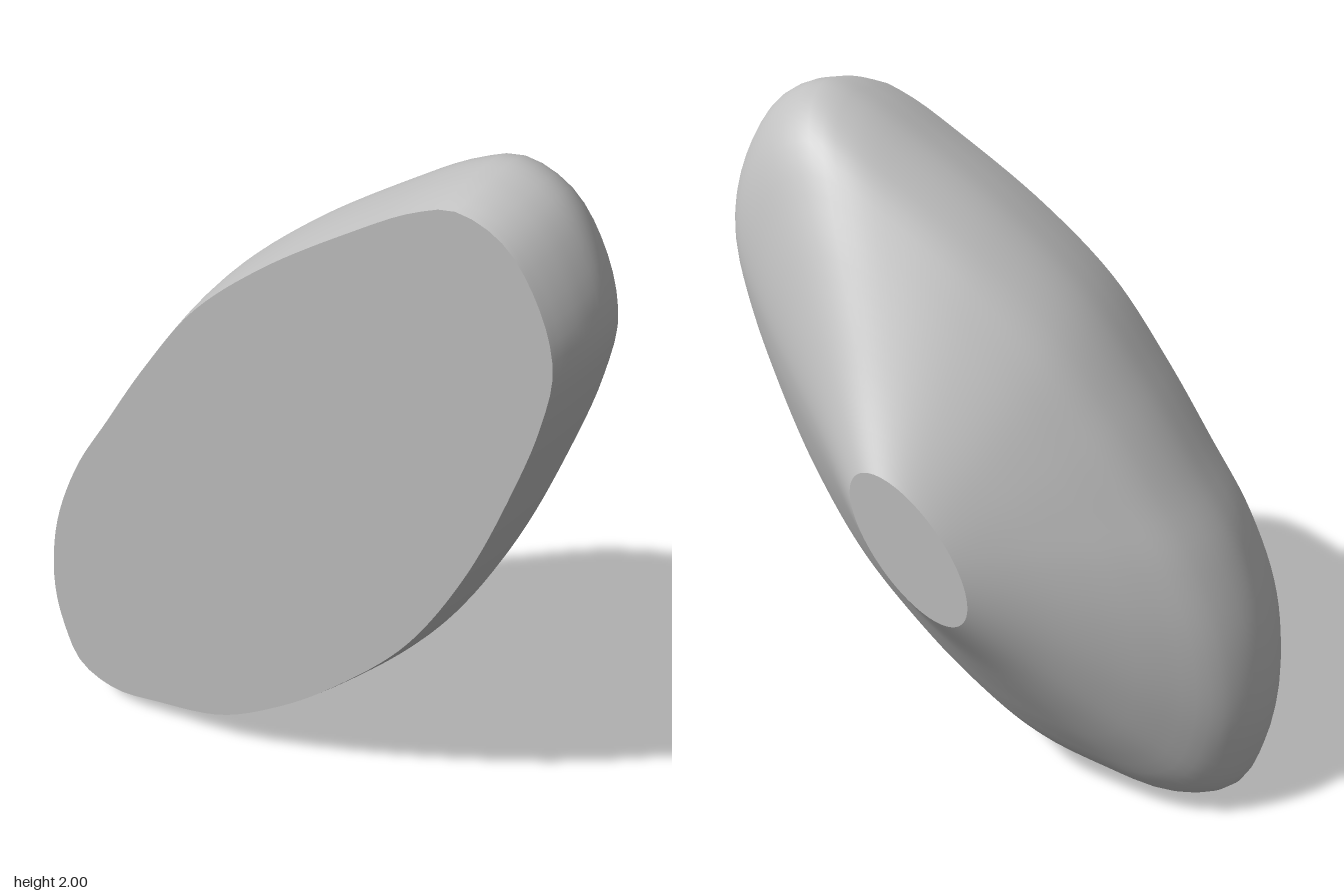
import * as THREE from 'three';

// Outline at the widest section, clockwise seen from the front
const OUTLINE = [
  [0.57, 2.0], [0.7, 1.945], [0.8, 1.8], [0.845, 1.635], [0.82, 1.47], [0.75, 1.25],
  [0.615, 0.92], [0.43, 0.61], [0.19, 0.36], [0, 0.205], [-0.23, 0.07], [-0.47, 0.02],
  [-0.65, 0.002], [-0.775, 0.06], [-0.83, 0.2], [-0.848, 0.36], [-0.81, 0.6], [-0.705, 0.845],
  [-0.57, 1.05], [-0.415, 1.277], [-0.23, 1.51], [0, 1.7], [0.27, 1.87], [0.456, 1.97],
];
// Side profile from front to back: [z, size of the section]
const PROFILE = [
  [0.395, 0.945], [0.345, 0.967], [0.28, 0.988], [0.19, 1], [0.1, 0.975], [0, 0.9],
  [-0.1, 0.745], [-0.2, 0.565], [-0.3, 0.385], [-0.41, 0.205],
];
const SEGMENTS = 120, RINGS = 36;
const AXIS = THREE.MathUtils.degToRad(52);

const spline = (points, closed) => new THREE.CatmullRomCurve3(
  points.map(([a, b]) => new THREE.Vector3(a, b, 0)), closed, 'centripetal');

// Matching point on the small slanted oval at the back
function ovalPoint(x, y) {
  const c = Math.cos(AXIS), s = Math.sin(AXIS);
  const u = (x * c + y * s) / 1.155, v = (-x * s + y * c) / 0.463;
  const len = Math.hypot(u, v), a = 0.245 * u / len, b = 0.113 * v / len;
  return [a * c - b * s, a * s + b * c];
}

function buildRings() {
  const outline = spline(OUTLINE, true).getSpacedPoints(SEGMENTS).slice(0, SEGMENTS);
  const profile = spline(PROFILE, false);
  const rings = [];
  for (let i = 0; i <= RINGS; i++) {
    const { x: z, y: size } = profile.getPoint(i / RINGS);
    const blend = z < 0.19 ? THREE.MathUtils.clamp((1 - size) / 0.795, 0, 1) : 0;
    const tilt = THREE.MathUtils.clamp((z - 0.19) / 0.205, 0, 1);
    rings.push(outline.map((p) => {
      const px = p.x, py = p.y - 1;
      const [ox, oy] = ovalPoint(px, py);
      const k = size / 0.205;
      const x = size * px * (1 - blend) + k * ox * blend + 0.004 * blend;
      const y = size * py * (1 - blend) + k * oy * blend - 0.025 * blend;
      // The front face leans slightly, and so does the back face
      const dz = tilt * (0.03 * y - 0.0225 * x) + blend * 0.015 * y;
      return [x, y + 1, z + dz];
    }));
  }
  return rings;
}

function geometryFrom(points, index) {
  const geometry = new THREE.BufferGeometry();
  geometry.setAttribute('position', new THREE.Float32BufferAttribute(points.flat(), 3));
  geometry.setIndex(index);
  geometry.computeVertexNormals();
  return geometry;
}

// Smooth skin through all rings
function skinGeometry(rings) {
  const index = [];
  for (let i = 0; i < RINGS; i++) {
    for (let j = 0; j < SEGMENTS; j++) {
      const n = (j + 1) % SEGMENTS;
      const a = i * SEGMENTS + j, b = i * SEGMENTS + n;
      index.push(a, b, a + SEGMENTS, b, b + SEGMENTS, a + SEGMENTS);
    }
  }
  return geometryFrom(rings.flat(), index);
}

// Flat face closing one ring
function faceGeometry(ring, facesFront) {
  const centre = [0, 1, 2].map((k) => ring.reduce((sum, p) => sum + p[k], 0) / SEGMENTS);
  const index = [];
  for (let j = 0; j < SEGMENTS; j++) {
    const n = (j + 1) % SEGMENTS;
    index.push(SEGMENTS, facesFront ? n : j, facesFront ? j : n);
  }
  return geometryFrom([...ring, centre], index);
}

export function createModel() {
  const group = new THREE.Group();
  group.name = 'taperedBody';
  const grey = new THREE.MeshStandardMaterial({ color: 0xc0c0c0 });
  grey.name = 'grey';
  const add = (name, geometry) => {
    const mesh = new THREE.Mesh(geometry, grey);
    mesh.name = name;
    group.add(mesh);
  };
  const rings = buildRings();
  add('roundedSide', skinGeometry(rings));
  add('frontFace', faceGeometry(rings[0], true));
  add('backFace', faceGeometry(rings[RINGS], false));
  return group;
}
